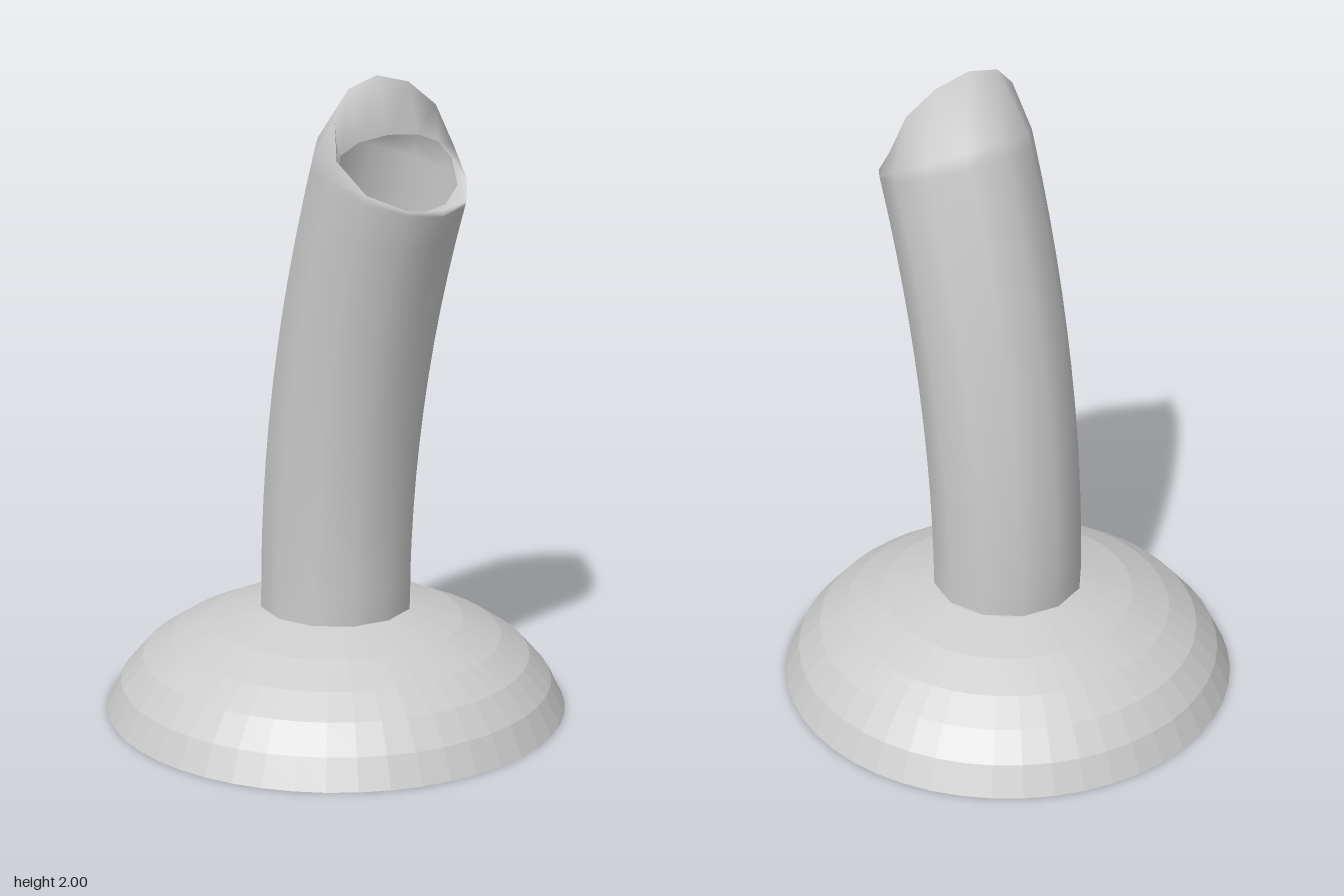
import * as THREE from 'three';

const SIDES = 12;
const RADIUS = 0.24;
const START_Y = 0.33;
const BEND = THREE.MathUtils.degToRad(19);
const BEND_RADIUS = 4.2;

// Opening outlines from front (0 deg) to back (180 deg): [x, y, z]
const RIM = [
  [0, 1.635, 0.455], [0.12, 1.645, 0.43], [0.205, 1.69, 0.35], [0.237, 1.78, 0.26],
  [0.205, 1.9, 0.215], [0.12, 1.972, 0.185], [0, 2.0, 0.175],
];
const LIP = [
  [0, 1.61, 0.35], [0.12, 1.625, 0.345], [0.2, 1.67, 0.315], [0.23, 1.74, 0.26],
  [0.2, 1.79, 0.235], [0.12, 1.82, 0.228], [0, 1.83, 0.225],
];

// Mirror a half outline into a closed ring
function mirrorRing(half) {
  return Array.from({ length: SIDES }, (_, j) => {
    const [x, y, z] = half[j <= 6 ? j : SIDES - j];
    return [j <= 6 ? x : -x, y, z];
  });
}

// Ring on the bent stem; lift pushes the back of the ring further along the stem
function stemRing(t, lift = 0) {
  const a = BEND * t;
  return Array.from({ length: SIDES }, (_, j) => {
    const phi = (j / SIDES) * Math.PI * 2;
    const out = RADIUS * Math.cos(phi);
    const up = lift * (1 - Math.cos(phi)) / 2;
    return [
      RADIUS * Math.sin(phi),
      START_Y + BEND_RADIUS * Math.sin(a) - out * Math.sin(a) + up * Math.cos(a),
      BEND_RADIUS * (1 - Math.cos(a)) + out * Math.cos(a) + up * Math.sin(a),
    ];
  });
}

function loft(rings) {
  const index = [];
  for (let i = 0; i < rings.length - 1; i++) {
    for (let j = 0; j < SIDES; j++) {
      const k = (j + 1) % SIDES;
      const a = i * SIDES + j, b = i * SIDES + k;
      index.push(a, b, b + SIDES, a, b + SIDES, a + SIDES);
    }
  }
  const geometry = new THREE.BufferGeometry();
  geometry.setAttribute('position', new THREE.Float32BufferAttribute(rings.flat(2), 3));
  geometry.setIndex(index);
  geometry.computeVertexNormals();
  return geometry;
}

export function createModel() {
  const group = new THREE.Group();
  group.name = 'bentPipe';

  // Faceted dome foot with a flat underside
  const profile = [
    [0, 0], [0.725, 0], [0.68, 0.09], [0.61, 0.17], [0.52, 0.23],
    [0.4, 0.285], [0.24, 0.33], [0, 0.35],
  ].map(([r, y]) => new THREE.Vector2(r, y));
  const base = new THREE.Mesh(
    new THREE.LatheGeometry(profile, 48),
    new THREE.MeshStandardMaterial({ color: 0xcccccc, flatShading: true }),
  );
  base.name = 'domeBase';
  group.add(base);

  // Bent stem, hooded opening and the lip folded into it
  const rings = [];
  for (let i = 0; i <= 12; i++) rings.push(stemRing(i / 12));
  rings.push(stemRing(1, 0.055), mirrorRing(RIM), mirrorRing(LIP));
  const stem = new THREE.Mesh(
    loft(rings),
    new THREE.MeshStandardMaterial({ color: 0xcccccc, side: THREE.DoubleSide }),
  );
  stem.name = 'bentStem';
  group.add(stem);

  return group;
}
